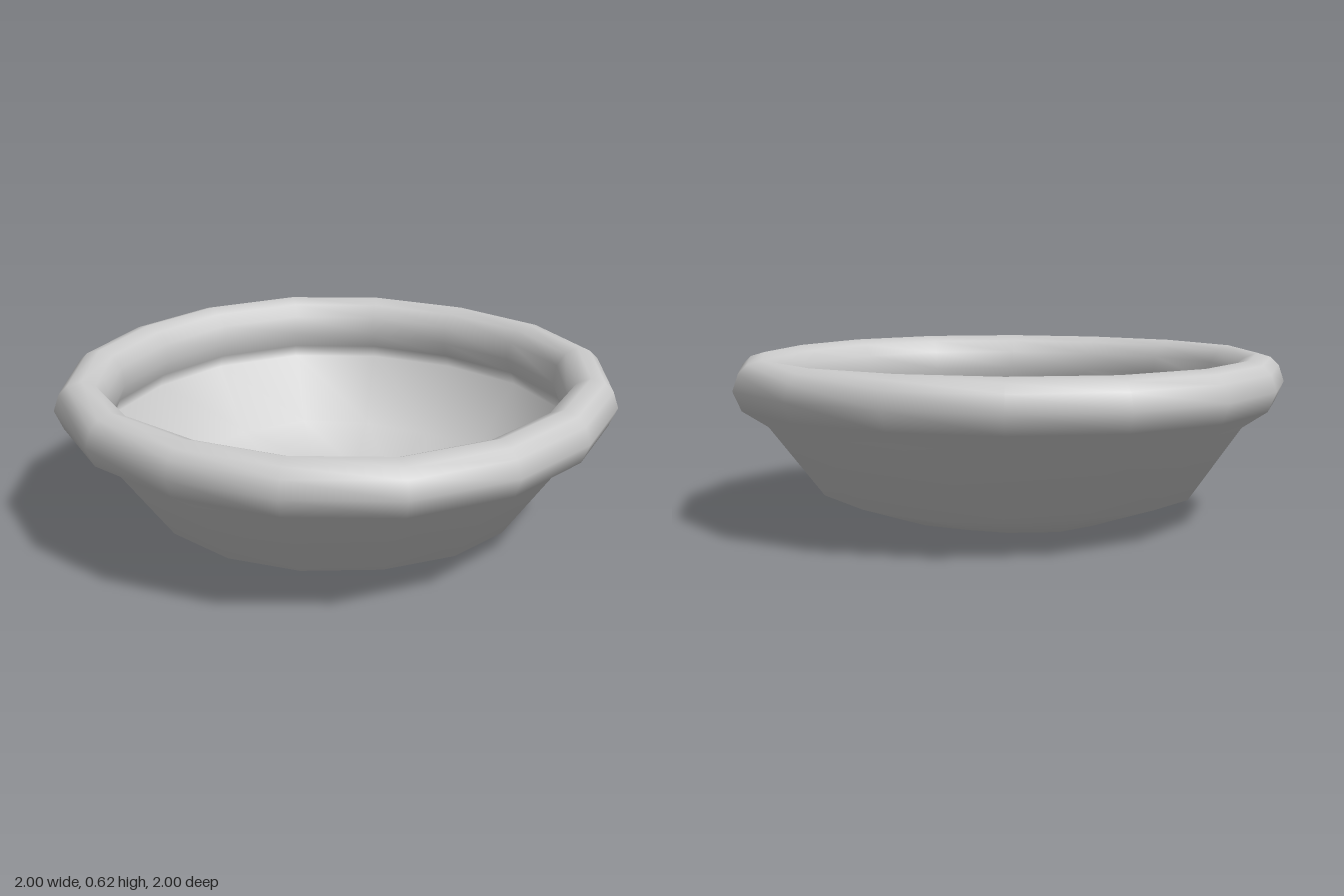
import * as THREE from 'three';
import { mergeVertices } from 'three/addons/utils/BufferGeometryUtils.js';

// Profile rows: radius, height, squareness (extra radius on the diagonals), diagonal lift
const PROFILE = [
  // underside and outer wall
  [0, 0.0, 0, 0], [0.37, 0.015, 0.25, 0.012], [0.69, 0.11, 0.03, 0.015], [0.88, 0.38, 0.03, 0],
  // rolled rim
  [0.97, 0.44, 0.03, 0], [1, 0.51, 0.03, 0], [0.98, 0.57, 0.03, 0], [0.95, 0.6, 0.03, 0], [0.9, 0.615, 0.03, 0],
  [0.85, 0.595, 0.035, 0], [0.815, 0.55, 0.04, 0], [0.805, 0.48, 0.04, 0], [0.83, 0.42, 0.035, 0],
  // thin inner wall and floor
  [0.85, 0.37, 0.03, 0], [0.675, 0.125, 0.03, 0.015], [0.365, 0.03, 0.25, 0.012], [0, 0.015, 0, 0],
];
const SIDES = 16;

export function createModel() {
  const group = new THREE.Group();
  group.name = 'bowlModel';

  const geo = new THREE.LatheGeometry(PROFILE.map(([r, y]) => new THREE.Vector2(r, y)), SIDES);
  // Push the rings gently towards a rounded square
  const pos = geo.attributes.position;
  for (let i = 0; i < pos.count; i++) {
    const [, y, square, lift] = PROFILE[i % PROFILE.length];
    const x = pos.getX(i), z = pos.getZ(i);
    const diagonal = Math.sin(2 * Math.atan2(z, x)) ** 2;
    const k = 1 + square * diagonal;
    pos.setXYZ(i, x * k, y + lift * diagonal, z * k);
  }

  // Weld the seam so the shading is smooth all round
  geo.deleteAttribute('uv');
  geo.deleteAttribute('normal');
  const smooth = mergeVertices(geo, 1e-4);
  smooth.computeVertexNormals();

  const bowl = new THREE.Mesh(smooth, new THREE.MeshStandardMaterial({ color: 0xcccccc }));
  bowl.name = 'bowl';
  group.add(bowl);
  return group;
}
